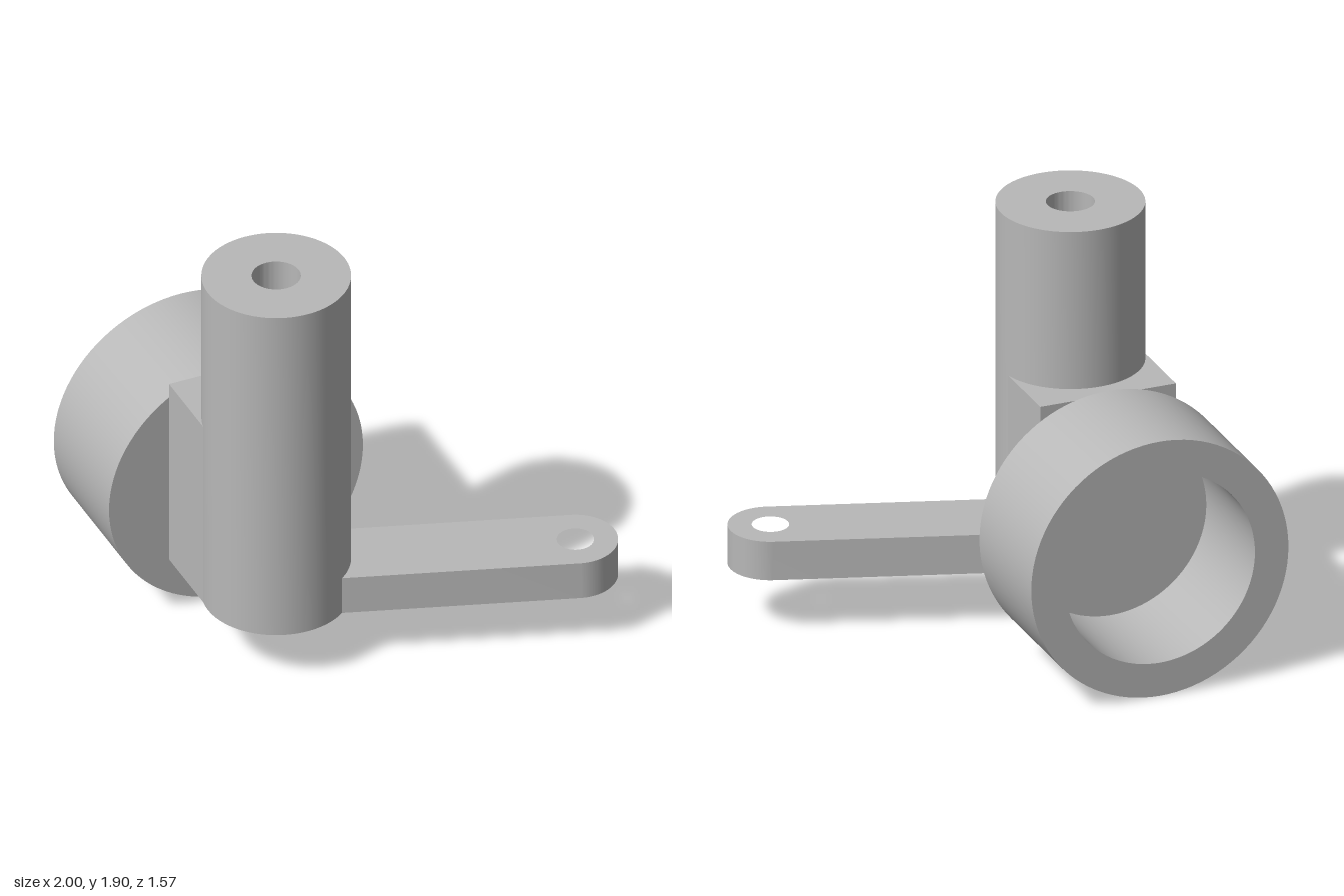
import * as THREE from 'three';
import { toCreasedNormals } from 'three/addons/utils/BufferGeometryUtils.js';

const R = 0.32;              // column radius
const BASE = 0.26;           // underside of column, web and arm
const AXIS = new THREE.Vector3(-0.405, 0, 0.2);

// Extrude a plan-view shape (x, z) upwards from BASE, keeping edges sharp
function plate(shape, height) {
  const g = new THREE.ExtrudeGeometry(shape, { depth: height, bevelEnabled: false, curveSegments: 48 });
  g.rotateX(Math.PI / 2).translate(0, BASE + height, 0);
  return toCreasedNormals(g, 0.6);
}

function circleHole(x, y, r) {
  return new THREE.Path().absarc(x, y, r, 0, Math.PI * 2, true);
}

export function createModel() {
  const model = new THREE.Group();
  model.name = 'bracket';
  const grey = new THREE.MeshStandardMaterial({ color: 0xb8b8b8 });
  grey.name = 'grey';

  function add(name, geometry) {
    const mesh = new THREE.Mesh(geometry, grey);
    mesh.name = name;
    mesh.position.copy(AXIS);
    model.add(mesh);
    return mesh;
  }

  // Upright column with a bore right through
  const column = new THREE.Shape().absarc(0, 0, R, 0, Math.PI * 2, false);
  column.holes.push(circleHole(0, 0, 0.105));
  add('column', plate(column, 1.645));

  // Web block joining the column to the cup, hollowed to fit the column
  const w = 0.314, back = -0.415;
  const a = Math.acos(w / R);
  const web = new THREE.Shape();
  web.absarc(0, 0, R, Math.PI + a, Math.PI * 2 - a, false);
  web.lineTo(w, back);
  web.lineTo(-w, back);
  web.closePath();
  add('web', plate(web, 0.91));

  // Lever arm with a rounded, drilled end
  const length = 1.284, half = 0.183;
  const b = Math.asin(half / R);
  const arm = new THREE.Shape();
  arm.absarc(0, 0, R, -b, b, false);
  arm.lineTo(length, half);
  arm.absarc(length, 0, half, Math.PI / 2, -Math.PI / 2, true);
  arm.closePath();
  arm.holes.push(circleHole(length, 0, 0.08));
  add('arm', plate(arm, 0.18)).rotation.y = -Math.atan2(0.4, 1.22);

  // Round cup, open to the back, with a thin floor
  const profile = [[0, 0], [0.595, 0], [0.595, 0.57], [0.44, 0.57], [0.44, 0.035], [0, 0.035]]
    .map(([x, y]) => new THREE.Vector2(x, y));
  const cup = new THREE.LatheGeometry(profile, 96).rotateX(-Math.PI / 2);
  add('cup', toCreasedNormals(cup, 0.6)).position.set(AXIS.x, 0.595, -0.215);

  return model;
}
